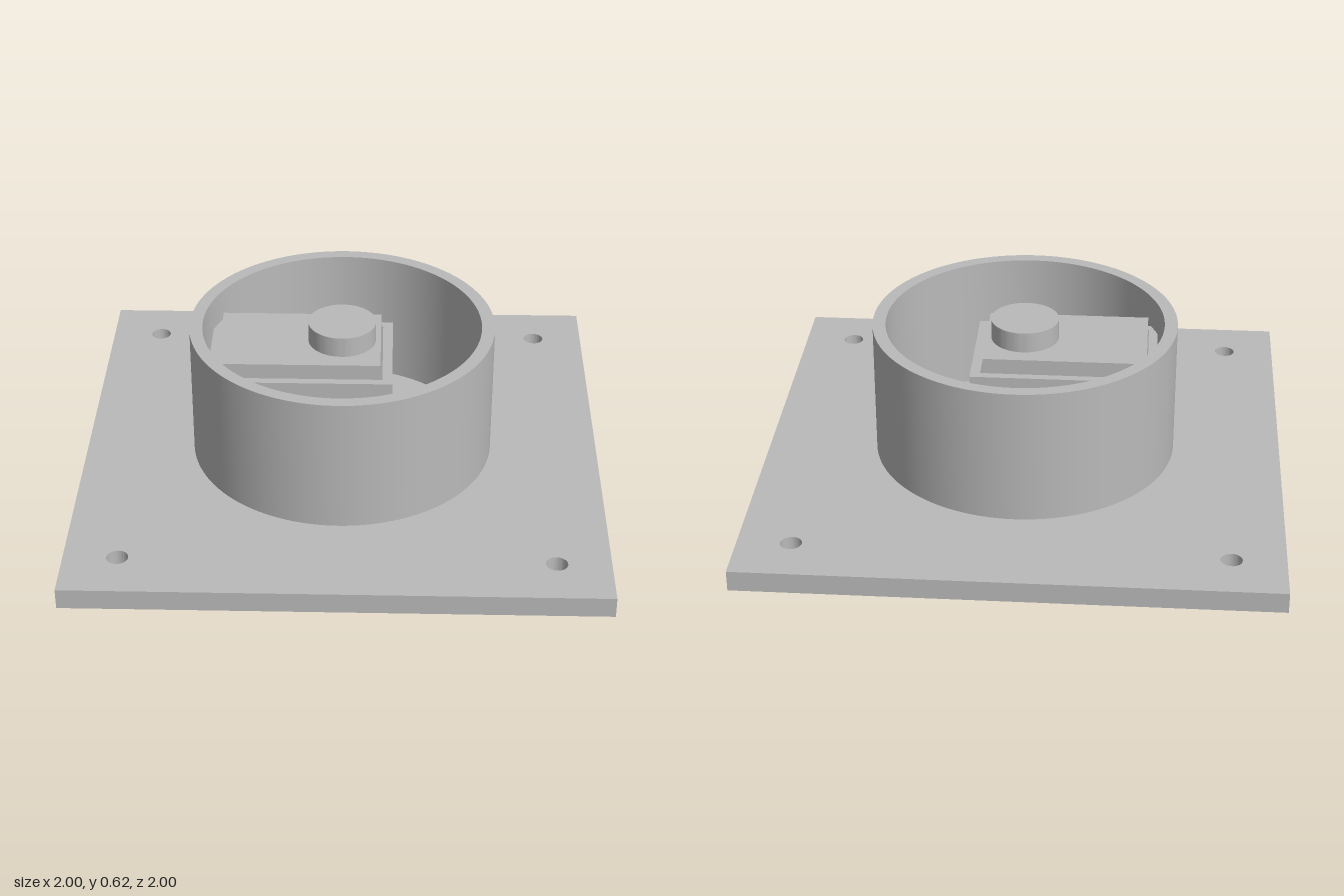
import * as THREE from 'three';
import { toCreasedNormals } from 'three/addons/utils/BufferGeometryUtils.js';

const grey = new THREE.MeshStandardMaterial({ color: 0xbababa });
grey.name = 'plain grey';

// Outline helpers, drawn in plan (x, z)
function rect(path, x0, x1, halfZ) {
  path.moveTo(x0, -halfZ);
  path.lineTo(x1, -halfZ);
  path.lineTo(x1, halfZ);
  path.lineTo(x0, halfZ);
  path.closePath();
  return path;
}

function circle(path, x, z, r) {
  path.absarc(x, z, r, 0, Math.PI * 2, false);
  return path;
}

// Raises a plan outline from y0 to y1, with sharp rims and smooth walls
function raise(name, shape, y0, y1, curveSegments = 48) {
  const extruded = new THREE.ExtrudeGeometry(shape, {
    depth: y1 - y0, bevelEnabled: false, curveSegments,
  });
  extruded.rotateX(-Math.PI / 2);
  extruded.translate(0, y0, 0);
  const mesh = new THREE.Mesh(toCreasedNormals(extruded, 0.6), grey);
  mesh.name = name;
  return mesh;
}

export function createModel() {
  const model = new THREE.Group();
  model.name = 'mountedButtonHousing';

  // Square mounting plate with four screw holes
  const plate = rect(new THREE.Shape(), -1, 1, 1);
  for (const x of [-0.8, 0.8]) {
    for (const z of [-0.8, 0.8]) plate.holes.push(circle(new THREE.Path(), x, z, 0.04));
  }
  model.add(raise('mountingPlate', plate, 0, 0.08, 32));

  // Open round wall
  const wall = circle(new THREE.Shape(), 0, 0, 0.585);
  wall.holes.push(circle(new THREE.Path(), 0, 0, 0.535));
  model.add(raise('roundWall', wall, 0.08, 0.61, 96));

  // Block holder with a fitted pocket, its outer end set into the wall
  const holder = rect(new THREE.Shape(), -0.51, 0.195, 0.232);
  holder.holes.push(rect(new THREE.Path(), -0.475, 0.157, 0.2));
  model.add(raise('blockHolder', holder, 0.08, 0.483));

  // Block seated in the pocket, with the round button on top
  model.add(raise('innerBlock', rect(new THREE.Shape(), -0.471, 0.149, 0.193), 0.08, 0.54));
  model.add(raise('roundButton', circle(new THREE.Shape(), 0, 0, 0.13), 0.54, 0.62));

  return model;
}
